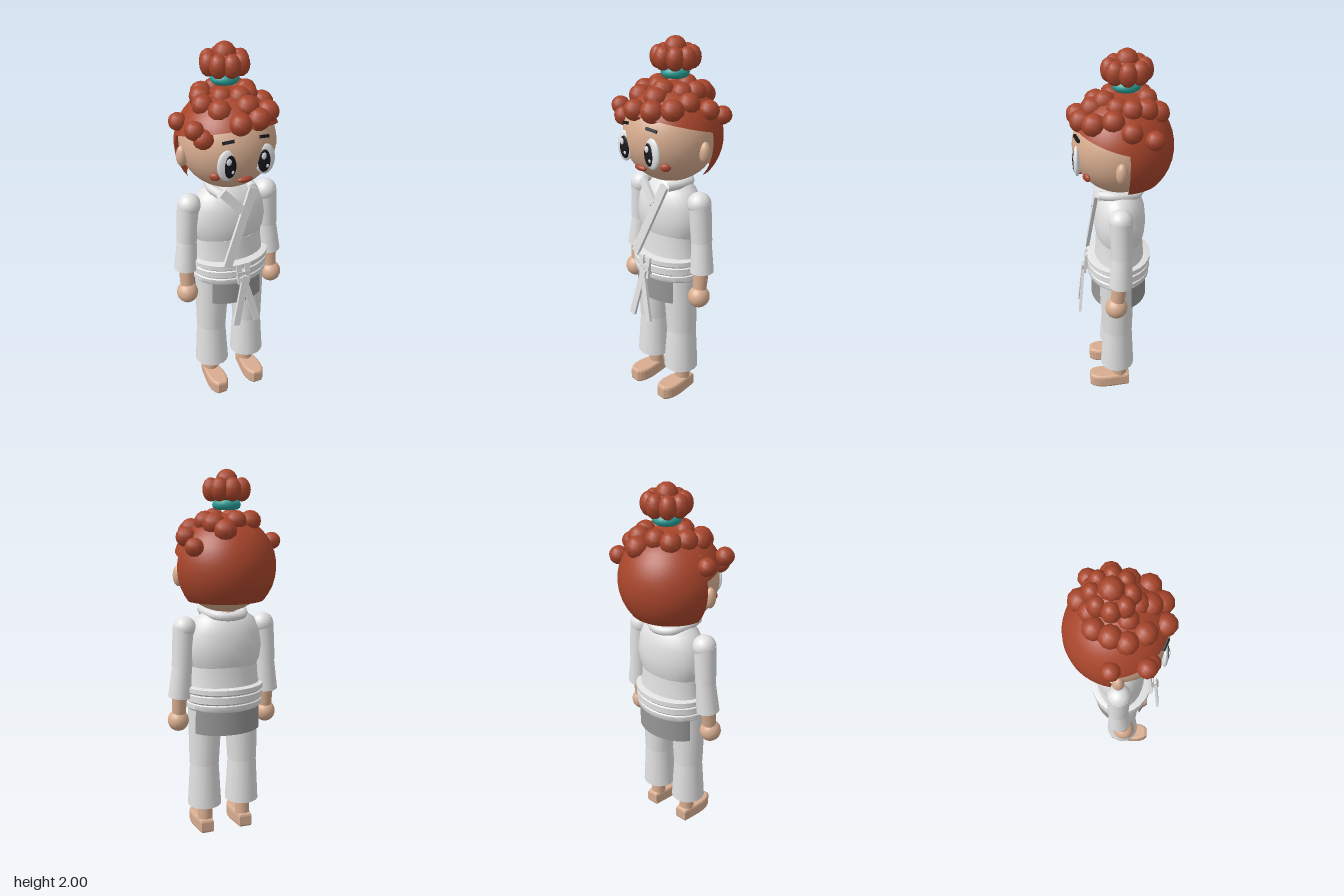
import * as THREE from 'three';
import { toCreasedNormals } from 'three/addons/utils/BufferGeometryUtils.js';

const flat = (name, color, side = THREE.FrontSide) => {
  const m = new THREE.MeshStandardMaterial({ color, side });
  m.name = name;
  return m;
};

export function createModel() {
  const root = new THREE.Group();
  root.name = 'figure';
  const skin = flat('skin', 0xd8ad90);
  const hair = flat('red hair', 0xa8452b, THREE.DoubleSide);
  const cloth = flat('white cloth', 0xe2e2e2);
  const lining = flat('grey lining', 0x969696, THREE.DoubleSide);
  const teal = flat('teal band', 0x2a9d96);
  const dark = flat('dark', 0x17171d);
  const eyeWhite = flat('eye white', 0xe6e8ea);
  const blush = flat('blush', 0xa94630);

  const V = (x, y, z) => new THREE.Vector3(x, y, z);
  const add = (name, geo, mat, x = 0, y = 0, z = 0) => {
    const m = new THREE.Mesh(geo, mat);
    m.name = name;
    m.position.set(x, y, z);
    root.add(m);
    return m;
  };
  const ball = (name, mat, x, y, z, rx, ry = rx, rz = rx, w = 20, h = 14) => {
    const m = add(name, new THREE.SphereGeometry(1, w, h), mat, x, y, z);
    m.scale.set(rx, ry, rz);
    return m;
  };
  // Aligns a y-axis geometry between two points
  const span = (name, mat, a, b, makeGeo) => {
    const d = b.clone().sub(a);
    const mid = a.clone().add(b).multiplyScalar(0.5);
    const m = add(name, makeGeo(d.length()), mat, mid.x, mid.y, mid.z);
    m.quaternion.setFromUnitVectors(V(0, 1, 0), d.normalize());
    return m;
  };
  // Tapered limb, from bottom a to top b
  const limb = (name, mat, a, ra, b, rb) =>
    span(name, mat, a, b, (l) => new THREE.CylinderGeometry(rb, ra, l, 18));
  const strip = (name, mat, a, b, w, d) =>
    span(name, mat, b, a, (l) => new THREE.BoxGeometry(w, l, d));
  const lathe = (name, mat, pts, depth, z) => {
    const g = new THREE.LatheGeometry(pts.map((p) => new THREE.Vector2(...p)), 28);
    g.scale(1, 1, depth);
    return add(name, toCreasedNormals(g, 0.7), mat, 0, 0, z);
  };

  // Torso, profiles from bottom to top
  lathe('chest', cloth, [[0, 0.97], [0.183, 0.97], [0.2, 1.01], [0.21, 1.08], [0.198, 1.16],
    [0.165, 1.23], [0.1, 1.275], [0, 1.28]], 0.66, 0.005);
  lathe('waist', cloth, [[0, 0.8], [0.205, 0.83], [0.192, 0.9], [0.185, 0.99], [0, 1.0]], 0.68, 0.008);
  lathe('hips', cloth, [[0, 0.63], [0.1, 0.64], [0.17, 0.68], [0.195, 0.75], [0.2, 0.8], [0, 0.8]], 0.68, 0.01);
  add('neck', new THREE.CylinderGeometry(0.065, 0.075, 0.14, 16), skin, 0, 1.27, 0);

  // Layered belt with knot, loops and tails
  lathe('belt', cloth, [[0, 0.74], [0.205, 0.74], [0.214, 0.75], [0.214, 0.775], [0.207, 0.78],
    [0.219, 0.79], [0.219, 0.825], [0.21, 0.83], [0.222, 0.84], [0.222, 0.865], [0.2, 0.87], [0, 0.87]], 0.79, 0.013);
  add('beltKnot', new THREE.BoxGeometry(0.07, 0.05, 0.03), cloth, 0.005, 0.8, 0.188);
  strip('beltLoopRight', cloth, V(-0.022, 0.87, 0.188), V(-0.012, 0.75, 0.2), 0.03, 0.015);
  strip('beltLoopLeft', cloth, V(0.03, 0.87, 0.188), V(0.025, 0.75, 0.2), 0.03, 0.015);
  strip('beltTailRight', cloth, V(0.012, 0.8, 0.207), V(-0.055, 0.515, 0.236), 0.038, 0.015);
  strip('beltTailLeft', cloth, V(-0.005, 0.8, 0.205), V(0.073, 0.515, 0.234), 0.038, 0.015);

  // Jacket skirt below the belt, open at the sides
  for (const [name, mid, half] of [['skirtFront', 0, 0.8], ['skirtBack', Math.PI, 1.15]]) {
    const g = new THREE.CylinderGeometry(0.2, 0.203, 0.15, 18, 1, true, mid - half, half * 2);
    g.scale(1, 1, 0.76);
    add(name, g, lining, 0, 0.685, 0.012);
  }

  // Crossed lapels and collar
  strip('lapelOver', cloth, V(0.09, 1.275, 0.128), V(-0.085, 0.865, 0.182), 0.048, 0.018);
  strip('lapelUnder', cloth, V(-0.085, 1.275, 0.122), V(0.02, 1.165, 0.146), 0.048, 0.018);
  const collar = new THREE.CatmullRomCurve3([V(0.09, 1.265, 0.115), V(0.105, 1.265, 0.02),
    V(0.07, 1.255, -0.075), V(0, 1.25, -0.1), V(-0.07, 1.255, -0.075), V(-0.105, 1.265, 0.02), V(-0.09, 1.265, 0.115)]);
  add('collar', new THREE.TubeGeometry(collar, 24, 0.025, 8), cloth);

  // Foot outline: wide toes, narrow heel
  const sole = new THREE.Shape();
  sole.moveTo(-0.025, -0.03);
  sole.lineTo(0.025, -0.03);
  sole.lineTo(0.04, 0.07);
  sole.quadraticCurveTo(0.048, 0.15, 0.02, 0.175);
  sole.lineTo(-0.02, 0.175);
  sole.quadraticCurveTo(-0.048, 0.15, -0.04, 0.07);
  const footGeo = new THREE.ExtrudeGeometry(sole, {
    depth: 0.05, bevelThickness: 0.015, bevelSize: 0.013, bevelSegments: 2, curveSegments: 5 });
  footGeo.rotateX(Math.PI / 2);

  for (const [side, s] of [['Left', 1], ['Right', -1]]) {
    // Arms
    ball('shoulder' + side, cloth, s * 0.222, 1.185, 0.008, 0.063);
    limb('upperSleeve' + side, cloth, V(s * 0.24, 0.98, 0.004), 0.056, V(s * 0.226, 1.19, 0.008), 0.06);
    limb('lowerSleeve' + side, cloth, V(s * 0.254, 0.81, 0.012), 0.063, V(s * 0.238, 1.0, 0.004), 0.052);
    limb('wrist' + side, skin, V(s * 0.255, 0.69, 0.03), 0.036, V(s * 0.252, 0.83, 0.015), 0.042);
    ball('hand' + side, skin, s * 0.257, 0.67, 0.035, 0.058, 0.06, 0.06);
    // Legs
    limb('upperTrouser' + side, cloth, V(s * 0.113, 0.41, 0.023), 0.083, V(s * 0.104, 0.76, 0.026), 0.097);
    limb('lowerTrouser' + side, cloth, V(s * 0.112, 0.165, 0.026), 0.096, V(s * 0.113, 0.45, 0.022), 0.079);
    limb('ankle' + side, skin, V(s * 0.113, 0.07, 0.012), 0.042, V(s * 0.113, 0.2, 0.016), 0.042);
    add('foot' + side, footGeo, skin, s * 0.115, 0.066, 0);
    // Face
    ball('ear' + side, skin, s * 0.252, 1.465, 0.005, 0.03, 0.055, 0.03);
    ball('eye' + side, eyeWhite, s * 0.102, 1.47, 0.222, 0.055, 0.08, 0.018);
    ball('iris' + side, dark, s * 0.094, 1.467, 0.23, 0.037, 0.062, 0.014);
    ball('glint' + side, eyeWhite, s * 0.094 - 0.008, 1.495, 0.242, 0.014, 0.018, 0.005, 12, 8);
    ball('smallGlint' + side, eyeWhite, s * 0.094 + 0.012, 1.44, 0.241, 0.008, 0.01, 0.005, 12, 8);
    const brow = add('eyebrow' + side, new THREE.BoxGeometry(0.06, 0.015, 0.012), dark, s * 0.096, 1.588, 0.219);
    brow.rotation.set(-0.3, s * 0.4, s * -0.08);
    const cheek = ball('cheek' + side, blush, s * 0.15, 1.4, 0.176, 0.027, 0.02, 0.012);
    cheek.rotation.y = s * 0.65;
  }
  ball('head', skin, 0, 1.512, 0, 0.25, 0.246, 0.246, 32, 22);
  ball('mouth', blush, 0, 1.373, 0.206, 0.042, 0.016, 0.02);

  // Hair cap: high over the brow, long behind the ears
  const capR = 0.273, capY = 1.505;
  const cap = (name, a0, a1, bottom) => {
    const g = new THREE.PlaneGeometry(1, 1, 24, 14);
    const { position: p, normal: n, uv } = g.attributes;
    for (let i = 0; i < p.count; i++) {
      const a = a0 + (a1 - a0) * uv.getX(i);
      const t = (1 - uv.getY(i)) * Math.acos((bottom(a) - capY) / capR);
      const d = V(Math.sin(t) * Math.sin(a), Math.cos(t), Math.sin(t) * Math.cos(a));
      n.setXYZ(i, d.x, d.y, d.z);
      p.setXYZ(i, d.x * capR, d.y * capR, d.z * capR);
    }
    add(name, g, hair, 0, capY, 0);
  };
  const edge = 1.7;
  cap('hairFront', -edge, edge, (a) => 1.572 + 0.07 * Math.cos(a));
  cap('hairBack', edge, 2 * Math.PI - edge, () => 1.33);

  // Curls over the crown: x, y, z, radius
  const curls = [
    [0.06, 1.7, -0.18, 0.06], [0.215, 1.62, -0.155, 0.05], [0.225, 1.665, -0.045, 0.054],
    [0.17, 1.7, 0.04, 0.058], [0.155, 1.68, 0.135, 0.06], [0.075, 1.67, 0.195, 0.06],
    [-0.03, 1.665, 0.215, 0.057], [-0.195, 1.595, 0.148, 0.053], [-0.235, 1.64, 0.135, 0.05],
    [-0.255, 1.635, -0.03, 0.048], [-0.095, 1.71, 0.12, 0.06], [-0.15, 1.725, 0.04, 0.056],
    [-0.13, 1.74, -0.035, 0.058], [-0.095, 1.74, -0.11, 0.056], [-0.015, 1.745, -0.13, 0.055],
    [0.1, 1.73, -0.12, 0.06], [0.125, 1.74, -0.05, 0.056], [0.1, 1.74, 0.02, 0.055],
    [0.04, 1.72, 0.14, 0.06], [0.03, 1.75, 0.08, 0.058], [-0.05, 1.75, 0.04, 0.055]];
  for (const [x, y, z, r] of curls) ball('curl', hair, x, y, z, r, r * 0.95, r, 10, 8);

  // Top bun held by a band
  const band = add('hairBand', new THREE.TorusGeometry(0.048, 0.026, 10, 20), teal, 0, 1.822, -0.03);
  band.rotation.x = Math.PI / 2;
  ball('bunCore', hair, 0, 1.9, -0.032, 0.085, 0.06, 0.085);
  ball('bunTop', hair, 0, 1.944, -0.032, 0.058, 0.056, 0.058, 10, 8);
  for (let i = 0; i < 8; i++) {
    const a = (i / 8) * Math.PI * 2;
    ball('bunCurl', hair, Math.sin(a) * 0.085, 1.898, -0.032 + Math.cos(a) * 0.085, 0.046, 0.06, 0.046, 10, 8);
  }
  return root;
}
